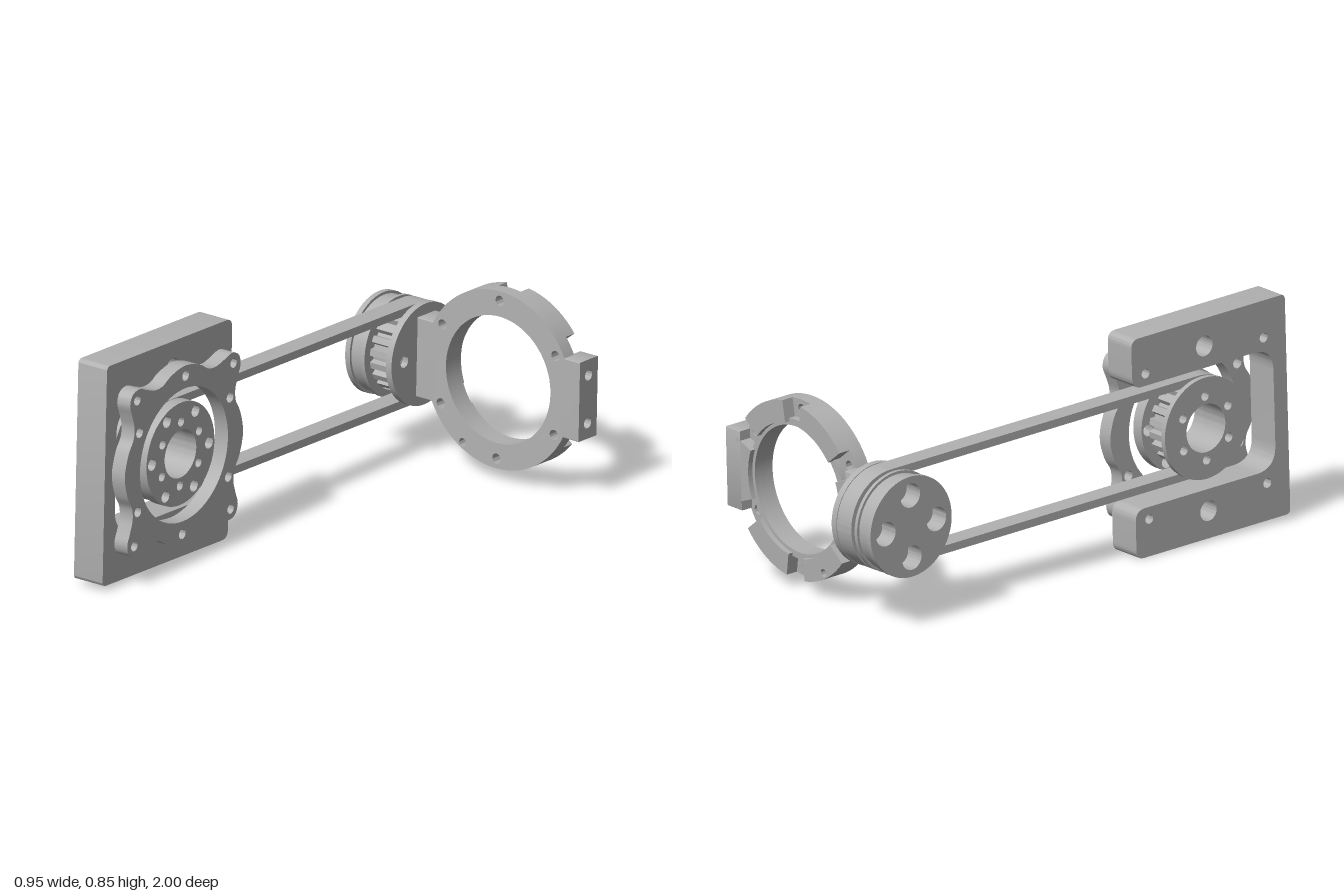
import * as THREE from 'three';
import { toCreasedNormals } from 'three/addons/utils/BufferGeometryUtils.js';

const metal = new THREE.MeshStandardMaterial({ color: 0xb0b0b0 });
metal.name = 'light grey metal';

const polar = (r, deg) => [r * Math.cos(deg * Math.PI / 180), r * Math.sin(deg * Math.PI / 180)];

function circle(x, y, r) {
  return new THREE.Path().absarc(x, y, r, 0, Math.PI * 2, true);
}

function disc(r, holes = []) {
  const s = new THREE.Shape().absarc(0, 0, r, 0, Math.PI * 2, false);
  s.holes.push(...holes);
  return s;
}

// evenly spaced holes on a bolt circle
function boltHoles(count, circleR, r, start = 0) {
  return Array.from({ length: count }, (_, i) => circle(...polar(circleR, start + i * 360 / count), r));
}

// polygon of [x, y, cornerRadius] with rounded corners
function roundedPolygon(points) {
  const s = new THREE.Shape();
  points.forEach(([x, y, r], i) => {
    const n = points.length;
    const p = new THREE.Vector2(x, y);
    const toward = (q) => new THREE.Vector2(q[0], q[1]).sub(p).setLength(r).add(p);
    const a = toward(points[(i + n - 1) % n]);
    const b = toward(points[(i + 1) % n]);
    if (i === 0) s.moveTo(a.x, a.y); else s.lineTo(a.x, a.y);
    s.quadraticCurveTo(x, y, b.x, b.y);
  });
  s.closePath();
  return s;
}

function extrude(name, shape, from, to) {
  const g = new THREE.ExtrudeGeometry(shape, { depth: to - from, bevelEnabled: false, curveSegments: 40 });
  g.translate(0, 0, from);
  const mesh = new THREE.Mesh(toCreasedNormals(g, 0.5), metal);
  mesh.name = name;
  return mesh;
}

// toothed wheel outline
function gearShape(teeth, rootR, tipR, holes) {
  const pts = [];
  for (let i = 0; i < teeth; i++) {
    for (const [f, r] of [[0, rootR], [0.28, rootR], [0.4, tipR], [0.88, tipR]]) {
      pts.push(new THREE.Vector2(...polar(r, (i + f) * 360 / teeth)));
    }
  }
  const s = new THREE.Shape(pts);
  s.holes.push(...holes);
  return s;
}

// mounting flange outline: a circle with four corner ears
function flangeShape() {
  const steps = [[0, 0.425], [5, 0.41], [9, 0.37], [14, 0.334], [21, 0.318], [30, 0.327], [45, 0.336]];
  const pts = [];
  for (let q = 0; q < 4; q++) {
    const mid = 45 + q * 90;
    for (let i = 5; i > 0; i--) pts.push(polar(steps[i][1], mid - steps[i][0]));
    for (const [d, r] of steps) pts.push(polar(r, mid + d));
  }
  const curve = new THREE.CatmullRomCurve3(pts.map(([x, y]) => new THREE.Vector3(x, y, 0)), true);
  const s = new THREE.Shape(curve.getPoints(200).slice(0, 200).map((p) => new THREE.Vector2(p.x, p.y)));
  s.holes.push(circle(0, 0, 0.25), ...boltHoles(6, 0.297, 0.019, 30), ...boltHoles(4, 0.387, 0.018, 45));
  return s;
}

function arcShape(inner, outer, startDeg, endDeg) {
  const a = startDeg * Math.PI / 180, b = endDeg * Math.PI / 180;
  const s = new THREE.Shape();
  s.absarc(0, 0, outer, a, b, false);
  s.absarc(0, 0, inner, b, a, true);
  s.closePath();
  return s;
}

export function createModel() {
  const model = new THREE.Group();
  model.name = 'beltDriveAssembly';

  // the whole drive leans slightly
  const drive = new THREE.Group();
  drive.name = 'drive';
  drive.position.set(0, 0.43, 0.615);
  drive.rotation.x = -0.0316;
  model.add(drive);

  // side-on parts: shape x runs backwards, depth runs along +x
  const side = new THREE.Group();
  side.name = 'sideParts';
  side.rotation.y = Math.PI / 2;
  drive.add(side);
  const span = 1.426;

  // C-shaped motor plate
  const plate = roundedPolygon([
    [-0.376, -0.413, 0.02], [0.336, -0.413, 0.035], [0.336, -0.228, 0.045], [-0.315, -0.228, 0.09],
    [-0.315, 0.228, 0.09], [0.336, 0.228, 0.045], [0.336, 0.413, 0.035], [-0.376, 0.413, 0.02],
  ]);
  plate.holes.push(...boltHoles(4, 0.387, 0.018, 45), circle(0, 0.31, 0.038), circle(0, -0.31, 0.038));
  side.add(extrude('motorPlate', plate, -0.408, -0.278));
  side.add(extrude('mountingFlange', flangeShape(), -0.278, -0.219));

  // front pulley
  const front = new THREE.Group();
  front.name = 'frontPulley';
  const bore = () => [circle(0, 0, 0.09), ...boltHoles(6, 0.12, 0.017, 30)];
  front.add(extrude('pulleyBackRim', disc(0.19, bore()), -0.405, -0.385));
  front.add(extrude('pulleyTeeth', gearShape(20, 0.138, 0.158, bore()), -0.385, -0.28));
  front.add(extrude('pulleyFrontRim', disc(0.193, [...bore(), ...boltHoles(6, 0.162, 0.022)]), -0.28, -0.235));
  side.add(front);

  // rear pulley with its stepped hub
  const rear = new THREE.Group();
  rear.name = 'rearPulley';
  rear.position.x = span;
  const bigHoles = () => boltHoles(4, 0.117, 0.045);
  rear.add(extrude('hubRim', disc(0.188, bigHoles()), -0.476, -0.455));
  rear.add(extrude('hub', disc(0.178, bigHoles()), -0.455, -0.402));
  rear.add(extrude('pulleyBackRim', disc(0.188, boltHoles(4, 0.117, 0.022)), -0.402, -0.388));
  rear.add(extrude('pulleyTeeth', gearShape(20, 0.138, 0.158, boltHoles(4, 0.117, 0.018)), -0.388, -0.29));
  rear.add(extrude('pulleyFrontRim', disc(0.19, boltHoles(4, 0.117, 0.022)), -0.29, -0.264));
  side.add(rear);

  // belt loop
  const loop = (path, r) => {
    path.absarc(0, 0, r, Math.PI / 2, Math.PI * 1.5, false);
    path.absarc(span, 0, r, -Math.PI / 2, Math.PI / 2, false);
    path.closePath();
    return path;
  };
  const belt = loop(new THREE.Shape(), 0.188);
  belt.holes.push(loop(new THREE.Path(), 0.158));
  side.add(extrude('belt', belt, -0.37, -0.291));

  // clamp blocks at both sides of the bracket ring
  const ringFront = -1.38, ringMid = -1.435, ringBack = -1.482;
  for (const [name, from, to] of [['leftBlock', 0.395, 0.473], ['rightBlock', -0.265, -0.185]]) {
    const block = roundedPolygon([
      [-ringFront, -0.149, 0.004], [-ringBack, -0.149, 0.004], [-ringBack, 0.149, 0.004], [-ringFront, 0.149, 0.004],
    ]);
    block.holes.push(circle(1.43, 0.09, 0.02), circle(1.43, -0.09, 0.02));
    side.add(extrude(name, block, from, to));
  }

  // bracket ring with a castellated back
  const ring = new THREE.Group();
  ring.name = 'bracketRing';
  ring.position.x = 0.105;
  const face = disc(0.332, [circle(0, 0, 0.237), ...boltHoles(6, 0.296, 0.019, 30), circle(-0.155, -0.27, 0.015)]);
  ring.add(extrude('ringFace', face, ringMid, ringFront));
  ring.add(extrude('ringLip', disc(0.262, [circle(0, 0, 0.237)]), -1.462, ringMid));
  for (let i = 0; i < 6; i++) {
    const seg = arcShape(0.25, 0.332, i * 60 - 21.4, i * 60 + 21.4);
    if (i === 4) seg.holes.push(circle(-0.155, -0.27, 0.015));
    ring.add(extrude('ringSegment', seg, ringBack, ringMid));
  }
  drive.add(ring);

  return model;
}
